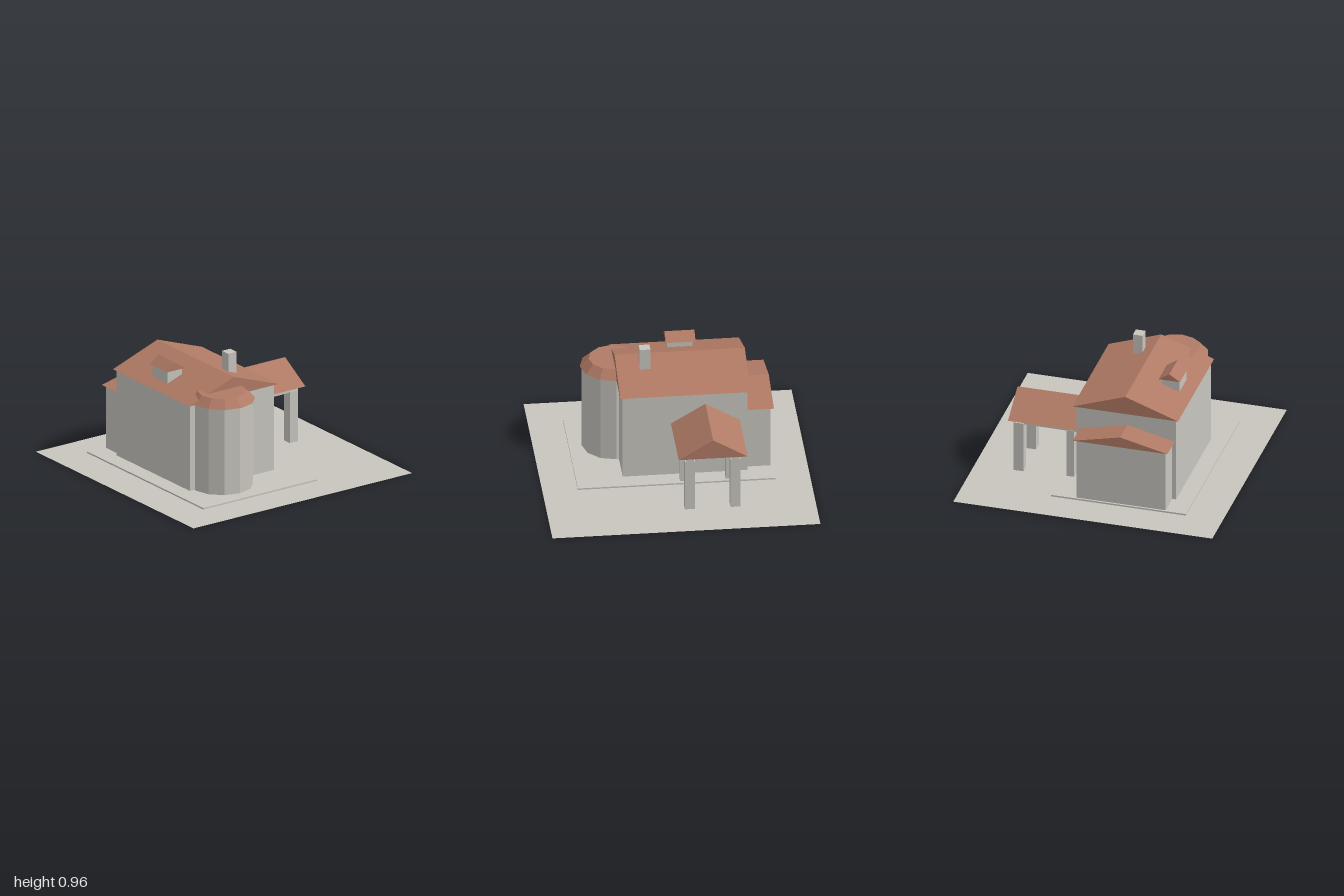
import * as THREE from 'three';

export function createModel() {
  const model = new THREE.Group();
  model.name = 'house';

  const stone = new THREE.MeshStandardMaterial({ color: 0xc8c5be, flatShading: true, side: THREE.DoubleSide });
  stone.name = 'pale stone';
  const tile = new THREE.MeshStandardMaterial({ color: 0xb07a65, flatShading: true, side: THREE.DoubleSide });
  tile.name = 'terracotta tile';

  function add(name, geometry, material, x = 0, y = 0, z = 0) {
    const mesh = new THREE.Mesh(geometry, material);
    mesh.name = name;
    mesh.position.set(x, y, z);
    model.add(mesh);
    return mesh;
  }

  // Box given by its limits on each axis
  function block(name, [x0, x1], [y0, y1], [z0, z1], material = stone) {
    return add(name, new THREE.BoxGeometry(x1 - x0, y1 - y0, z1 - z0), material,
      (x0 + x1) / 2, (y0 + y1) / 2, (z0 + z1) / 2);
  }

  // Solid gable roof with its ridge along x or z
  function gable(name, axis, [x0, x1], [y0, y1], [z0, z1]) {
    const alongX = axis === 'x';
    const span = alongX ? z1 - z0 : x1 - x0;
    const length = alongX ? x1 - x0 : z1 - z0;
    const section = new THREE.Shape();
    section.moveTo(-span / 2, 0);
    section.lineTo(span / 2, 0);
    section.lineTo(0, y1 - y0);
    section.closePath();
    const geometry = new THREE.ExtrudeGeometry(section, { depth: length, bevelEnabled: false });
    geometry.translate(0, 0, -length / 2);
    if (alongX) geometry.rotateY(Math.PI / 2);
    return add(name, geometry, tile, (x0 + x1) / 2, y0, (z0 + z1) / 2);
  }

  // Ground and plinth
  add('ground', new THREE.PlaneGeometry(2, 2).rotateX(-Math.PI / 2), stone);
  block('plinth', [-0.737, 0.737], [0.008, 0.02], [-0.32, 0.72]);

  // Main house
  block('mainWalls', [-0.545, 0.387], [0.02, 0.702], [-0.18, 0.59]);
  gable('mainRoof', 'x', [-0.565, 0.407], [0.7, 0.846], [-0.205, 0.61]);
  block('chimney', [0.155, 0.235], [0.7, 0.96], [0.055, 0.13]);

  // Dormer on the front slope
  block('dormerWalls', [-0.195, -0.005], [0.735, 0.832], [0.38, 0.515]);
  gable('dormerRoof', 'x', [-0.215, 0.007], [0.83, 0.885], [0.36, 0.525]);

  // Side annex
  block('annexWalls', [-0.722, -0.545], [0.02, 0.517], [-0.13, 0.56]);
  gable('annexRoof', 'x', [-0.745, -0.55], [0.515, 0.6], [-0.15, 0.58]);

  // Twelve-sided tower with a flat-topped roof
  add('towerWalls', new THREE.CylinderGeometry(0.235, 0.235, 0.68, 12), stone, 0.405, 0.36, 0.315);
  add('towerRoof', new THREE.CylinderGeometry(0.182, 0.248, 0.063, 12), tile, 0.407, 0.73, 0.312);

  // Rear porch
  gable('porchRoof', 'z', [-0.487, 0.028], [0.452, 0.606], [-0.725, -0.17]);
  for (const side of [-1, 1]) {
    const x = -0.23 + side * 0.17;
    block('porchBeam', [x - 0.027, x + 0.027], [0.405, 0.443], [-0.7, -0.17]);
    block('outerPost', [x - 0.038, x + 0.038], [0.01, 0.416], [-0.695, -0.62]);
    block('innerPost', [x - 0.03, x + 0.03], [0.02, 0.41], [-0.29, -0.23]);
  }

  return model;
}
